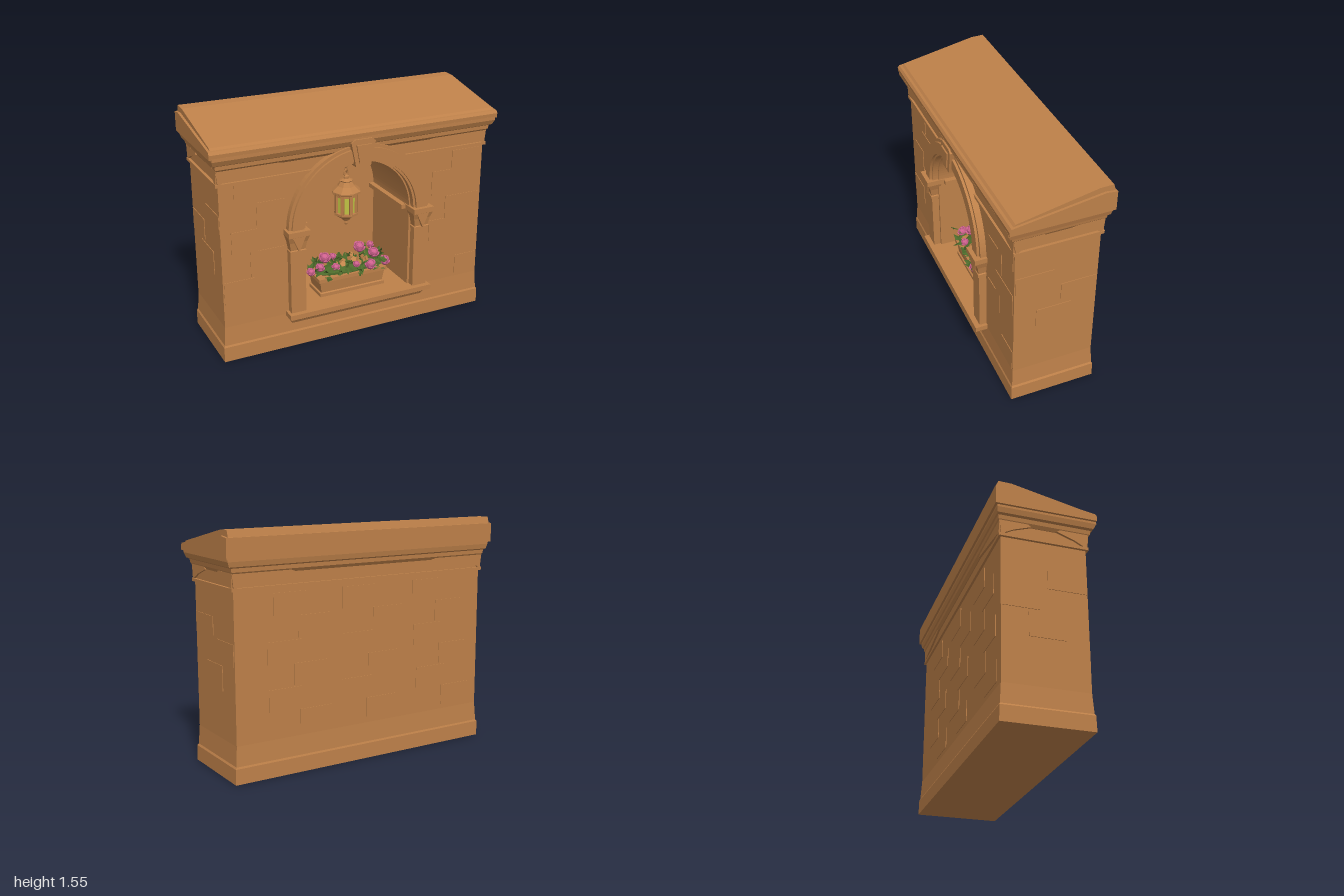
import * as THREE from 'three';

const mat = (name, color) => Object.assign(new THREE.MeshStandardMaterial({ color }), { name });

// faceted copy of a geometry
function flat(geo) {
  const g = geo.index ? geo.toNonIndexed() : geo;
  g.computeVertexNormals();
  return g;
}

// stacked rectangles [y, halfWidth, zFront, zBack] joined into a closed moulding
function moulding(rows) {
  const pos = [], idx = [];
  rows.forEach(([y, h, f, b]) => pos.push(-h, y, f, h, y, f, h, y, b, -h, y, b));
  for (let r = 0; r < rows.length - 1; r++)
    for (let k = 0; k < 4; k++) {
      const a = r * 4 + k, b = r * 4 + (k + 1) % 4;
      idx.push(a, b, b + 4, a, b + 4, a + 4);
    }
  const t = (rows.length - 1) * 4;
  idx.push(0, 2, 1, 0, 3, 2, t, t + 1, t + 2, t, t + 2, t + 3);
  const g = new THREE.BufferGeometry();
  g.setAttribute('position', new THREE.Float32BufferAttribute(pos, 3));
  g.setIndex(idx);
  return flat(g);
}

const poly = (pts) => new THREE.Shape(pts.map(([x, y]) => new THREE.Vector2(x, y)));

// shape extruded between two z planes
function slab(shape, z0, z1) {
  const g = new THREE.ExtrudeGeometry(shape, { depth: z1 - z0, bevelEnabled: false, curveSegments: 28 });
  return g.translate(0, 0, z0);
}

// side profile in (z, y) extruded across the width
function profile(pts, half) {
  return slab(poly(pts), -half, half).rotateY(-Math.PI / 2);
}

// box given by its limits
function box(x0, x1, y0, y1, z0, z1) {
  return new THREE.BoxGeometry(x1 - x0, y1 - y0, z1 - z0).translate((x0 + x1) / 2, (y0 + y1) / 2, (z0 + z1) / 2);
}

function halfRing(inner, outer) {
  const s = new THREE.Shape();
  s.absarc(0, 0.83, outer, 0, Math.PI, false);
  s.absarc(0, 0.83, inner, Math.PI, 0, true);
  s.closePath();
  return s;
}

export function createModel() {
  const root = new THREE.Group();
  const stone = mat('sandstone', 0xbd8049);
  const glass = mat('lanternGlass', 0xc2c444);
  const pink = mat('pinkPetal', 0xd0628f);
  const green = mat('leafGreen', 0x4d6b2b);
  green.side = THREE.DoubleSide;
  const orange = mat('orangeBloom', 0xc98a4e);

  let seed = 7;
  const rnd = () => (seed = (seed * 16807) % 2147483647) / 2147483647;
  const add = (name, geo, m = stone, parent = root) => {
    const o = new THREE.Mesh(geo, m);
    o.name = name;
    parent.add(o);
    return o;
  };

  // wall with a deep arched niche
  const wall = poly([[-0.938, 0.02], [0.938, 0.02], [0.938, 1.3], [-0.938, 1.3]]);
  const niche = new THREE.Path();
  niche.moveTo(-0.38, 0.25);
  niche.lineTo(0.38, 0.25);
  niche.lineTo(0.38, 0.83);
  niche.absarc(0, 0.83, 0.38, 0, Math.PI, false);
  niche.closePath();
  wall.holes.push(niche);
  add('wall', slab(wall, -0.25, 0.256));
  add('backWall', box(-0.938, 0.938, 0.02, 1.3, -0.29, -0.25));

  // plinth in two pieces so it stays under the niche floor
  add('plinth', moulding([[0, 0.955, 0.27, -0.305], [0.1, 0.954, 0.268, -0.303],
    [0.112, 0.946, 0.262, -0.298], [0.24, 0.938, 0.256, -0.29]]));

  // cornice and sloping roof
  add('cornice', moulding([[1.285, 0.942, 0.262, -0.296], [1.305, 0.955, 0.283, -0.31], [1.33, 0.96, 0.285, -0.312],
    [1.338, 0.975, 0.3, -0.32], [1.37, 0.985, 0.316, -0.326], [1.392, 0.985, 0.316, -0.326]]));
  add('roofEdge', profile([[-0.34, 1.385], [0.315, 1.385], [0.318, 1.415], [0.305, 1.432], [-0.27, 1.52], [-0.34, 1.512]], 1));
  add('roofSlab', profile([[-0.33, 1.42], [0.305, 1.42], [0.275, 1.447], [-0.235, 1.553], [-0.32, 1.555], [-0.334, 1.51]], 0.984));

  // frieze band below the cornice
  for (const s of [-1, 1]) {
    add('friezeBand', box(Math.min(s * 0.33, s * 0.953), Math.max(s * 0.33, s * 0.953), 1.19, 1.21, 0.25, 0.27));
    add('friezeBand', box(s * 0.945 - 0.01, s * 0.945 + 0.01, 1.19, 1.21, -0.3, 0.265));
  }
  add('friezeBand', box(-0.953, 0.953, 1.19, 1.21, -0.305, -0.285));

  // carved leaf wedges at the four corners of the frieze
  const leafWedge = (w, flip) => {
    const s = poly([[0, 0], [0.03, 0.02], [w * 0.4, 0.045], [w, 0.085], [w * 0.9, 0.1], [-0.012, 0.1]]
      .map(([x, y]) => [flip * x, y]));
    return slab(s, -0.01, 0.014);
  };
  for (const s of [-1, 1]) {
    add('cornerLeaf', leafWedge(0.42, -s)).position.set(s * 0.94, 1.2, 0.256);
    const back = add('cornerLeaf', leafWedge(0.42, s));
    back.position.set(s * 0.94, 1.2, -0.29);
    back.rotation.y = Math.PI;
    for (const f of [-1, 1]) {
      const side = add('cornerLeaf', leafWedge(0.19, f * s));
      side.position.set(s * 0.938, 1.2, f > 0 ? 0.256 : -0.29);
      side.rotation.y = s * Math.PI / 2;
    }
  }

  // slightly raised stone blocks: front [x0, x1, y0, y1], back and ends
  const T = 0.004;
  for (const [a, b, c, d] of [[-0.87, -0.7, 0.73, 0.88], [-0.84, -0.62, 1.06, 1.19], [-0.7, -0.51, 0.9, 1.05],
    [-0.75, -0.52, 0.56, 0.73], [-0.93, -0.72, 0.4, 0.55], [0.55, 0.75, 0.88, 1.05], [0.7, 0.92, 1.05, 1.18],
    [0.54, 0.72, 0.55, 0.7], [0.66, 0.92, 0.7, 0.86], [0.76, 0.93, 0.25, 0.4]])
    add('frontBlock', box(a, b, c, d, 0.25, 0.256 + T));
  for (let r = 0; r < 6; r++)
    for (let k = 0; k < 3; k++) {
      const x = -0.75 + k * 0.55 + (r % 2) * 0.2 + rnd() * 0.08;
      add('backBlock', box(x - 0.12, x + 0.12, 0.27 + r * 0.15, 0.41 + r * 0.15, -0.29 - T, -0.28));
    }
  for (const s of [-1, 1])
    for (const [z0, z1, y0, y1] of [[-0.12, 0.11, 0.55, 0.71], [-0.28, -0.05, 0.73, 0.87], [0, 0.25, 0.88, 1.0]])
      add('endBlock', box(s * 0.935 - 0.007, s * 0.935 + 0.007, y0, y1, z0, z1));

  // archivolt and keystone
  add('archBacking', slab(halfRing(0.39, 0.505), 0.24, 0.296));
  add('archFace', slab(halfRing(0.405, 0.485), 0.25, 0.312));
  add('keystone', slab(poly([[-0.052, 1.2], [0.052, 1.2], [0.085, 1.36], [0.06, 1.38], [-0.06, 1.38], [-0.085, 1.36]]), 0.24, 0.328));
  add('keystonePanel', slab(poly([[-0.03, 1.225], [0.03, 1.225], [0.052, 1.345], [-0.052, 1.345]]), 0.32, 0.338));

  // pilasters, capitals and imposts running into the niche
  for (const s of [-1, 1]) {
    const p = new THREE.Group();
    p.name = 'pilaster';
    p.position.x = s * 0.448;
    root.add(p);
    add('pilasterShaft', box(-0.052, 0.052, 0.25, 0.7, 0.24, 0.305), stone, p);
    add('capital', moulding([[0.68, 0.056, 0.312, 0.24], [0.7, 0.056, 0.312, 0.24], [0.705, 0.05, 0.307, 0.24],
      [0.76, 0.06, 0.316, 0.24], [0.805, 0.075, 0.332, 0.24]]), stone, p);
    add('capitalLeaf', slab(poly([[0, 0.7], [0.045, 0.8], [-0.045, 0.8]]), 0.3, 0.33), stone, p);
    add('abacus', box(-0.075, 0.075, 0.805, 0.84, 0.2, 0.34), stone, p);
    add('impost', box(s * 0.365 - 0.022, s * 0.365 + 0.022, 0.808, 0.838, -0.25, 0.22));
  }

  // sill
  add('sillTop', box(-0.52, 0.52, 0.228, 0.262, 0.2, 0.34));
  add('nicheFloor', box(-0.385, 0.385, 0.23, 0.262, -0.26, 0.25));
  add('sillMoulding', moulding([[0.17, 0.48, 0.268, 0.2], [0.19, 0.495, 0.28, 0.2], [0.21, 0.505, 0.305, 0.2], [0.23, 0.515, 0.325, 0.2]]));

  // hanging lantern
  const lantern = new THREE.Group();
  lantern.name = 'lantern';
  lantern.position.z = 0.08;
  root.add(lantern);
  const turned = (pts) => flat(new THREE.LatheGeometry(pts.map(([r, y]) => new THREE.Vector2(r, y)), 8));
  add('lanternBase', turned([[0, 0.705], [0.012, 0.72], [0.01, 0.735], [0.025, 0.745], [0.03, 0.755], [0.075, 0.785],
    [0.085, 0.79], [0.085, 0.805], [0, 0.805]]), stone, lantern);
  add('lanternRoof', turned([[0, 0.935], [0.082, 0.935], [0.1, 0.945], [0.1, 0.957], [0.06, 0.99], [0.04, 1.02], [0.045, 1.028],
    [0.02, 1.04], [0.02, 1.055], [0, 1.065]]), stone, lantern);
  add('lanternGlass', flat(new THREE.CylinderGeometry(0.07, 0.066, 0.13, 8).translate(0, 0.87, 0)), glass, lantern);
  for (let i = 0; i < 8; i++) {
    const post = add('lanternPost', box(-0.011, 0.011, 0.8, 0.94, 0.064, 0.08), stone, lantern);
    post.rotation.y = i * Math.PI / 4;
    const rail = add('lanternRail', box(-0.03, 0.03, 0.92, 0.94, 0.06, 0.074), stone, lantern);
    rail.rotation.y = (i + 0.5) * Math.PI / 4;
  }
  for (let i = 0; i < 5; i++) {
    const link = add('chainLink', new THREE.TorusGeometry(0.015, 0.005, 6, 10).scale(1, 1.4, 1), stone, lantern);
    link.position.y = 1.075 + i * 0.031;
    link.rotation.y = i % 2 * Math.PI / 2;
  }

  // planter
  add('planter', moulding([[0.255, 0.24, 0.185, 0.0], [0.285, 0.24, 0.185, 0.0], [0.29, 0.228, 0.175, 0.01],
    [0.365, 0.24, 0.184, 0.002], [0.37, 0.252, 0.195, -0.008], [0.395, 0.252, 0.195, -0.008]]));

  // foliage: folded pointed leaves over the planter
  const leaf = new THREE.BufferGeometry();
  leaf.setAttribute('position', new THREE.Float32BufferAttribute(
    [0, 0, 0, 0.02, 0.03, 0.008, 0, 0.07, -0.004, 0, 0, 0, 0, 0.07, -0.004, -0.02, 0.03, 0.008], 3));
  leaf.computeVertexNormals();
  for (let i = 0; i < 110; i++) {
    const l = add('leaf', leaf, green);
    const x = (rnd() - 0.5) * 0.52, front = rnd();
    l.position.set(x, 0.385 + rnd() * 0.06 * (1 + Math.abs(x) * 2), 0.01 + front * 0.18);
    l.rotation.set(front > 0.6 ? 1 + rnd() * 1.5 : (rnd() - 0.5) * 2, (rnd() - 0.5) * 2, (rnd() - 0.5) * 2.4 - x * 2);
  }
  add('foliageCore', flat(new THREE.IcosahedronGeometry(1, 1).scale(0.24, 0.035, 0.085).translate(0, 0.4, 0.095)), green);

  // pink blooms: a core wrapped in two rings of cupped petals
  const bud = flat(new THREE.IcosahedronGeometry(0.62, 1));
  const petal = flat(new THREE.SphereGeometry(0.5, 6, 4).scale(0.9, 1, 0.35));
  for (const [x, y, z, r] of [[-0.17, 0.505, 0.1, 0.046], [0.1, 0.525, 0.08, 0.047], [0.2, 0.47, 0.1, 0.045],
    [0.13, 0.435, 0.19, 0.046], [0.255, 0.425, 0.16, 0.042], [-0.28, 0.43, 0.12, 0.034], [-0.225, 0.465, 0.15, 0.036],
    [-0.12, 0.455, 0.17, 0.033], [-0.09, 0.48, 0.06, 0.03], [0.04, 0.44, 0.16, 0.028], [0.21, 0.5, 0.03, 0.03]]) {
    const f = new THREE.Group();
    f.name = 'pinkFlower';
    f.position.set(x, y, z);
    f.scale.setScalar(r);
    f.rotation.set(0.5, rnd() * 3, 0);
    root.add(f);
    add('bloomCore', bud, pink, f);
    for (let i = 0; i < 10; i++) {
      const a = i * Math.PI * 0.4 + (i > 4 ? 0.6 : 0), out = i > 4 ? 0.66 : 0.5;
      const p = add('petal', petal, pink, f);
      p.position.set(Math.sin(a) * out, i > 4 ? -0.15 : 0.2, Math.cos(a) * out);
      p.rotation.set(i > 4 ? 0.45 : -0.15, a, 0, 'YXZ');
    }
  }

  // small orange blooms in the middle
  const star = flat(new THREE.ConeGeometry(0.02, 0.022, 5).rotateX(-Math.PI / 2));
  for (let i = 0; i < 12; i++) {
    const b = add('orangeBloom', star, orange);
    b.position.set(-0.1 + rnd() * 0.2, 0.43 + rnd() * 0.07, 0.07 + rnd() * 0.12);
    b.rotation.set((rnd() - 0.7) * 1.2, (rnd() - 0.5) * 1.5, 0);
  }

  return root;
}
